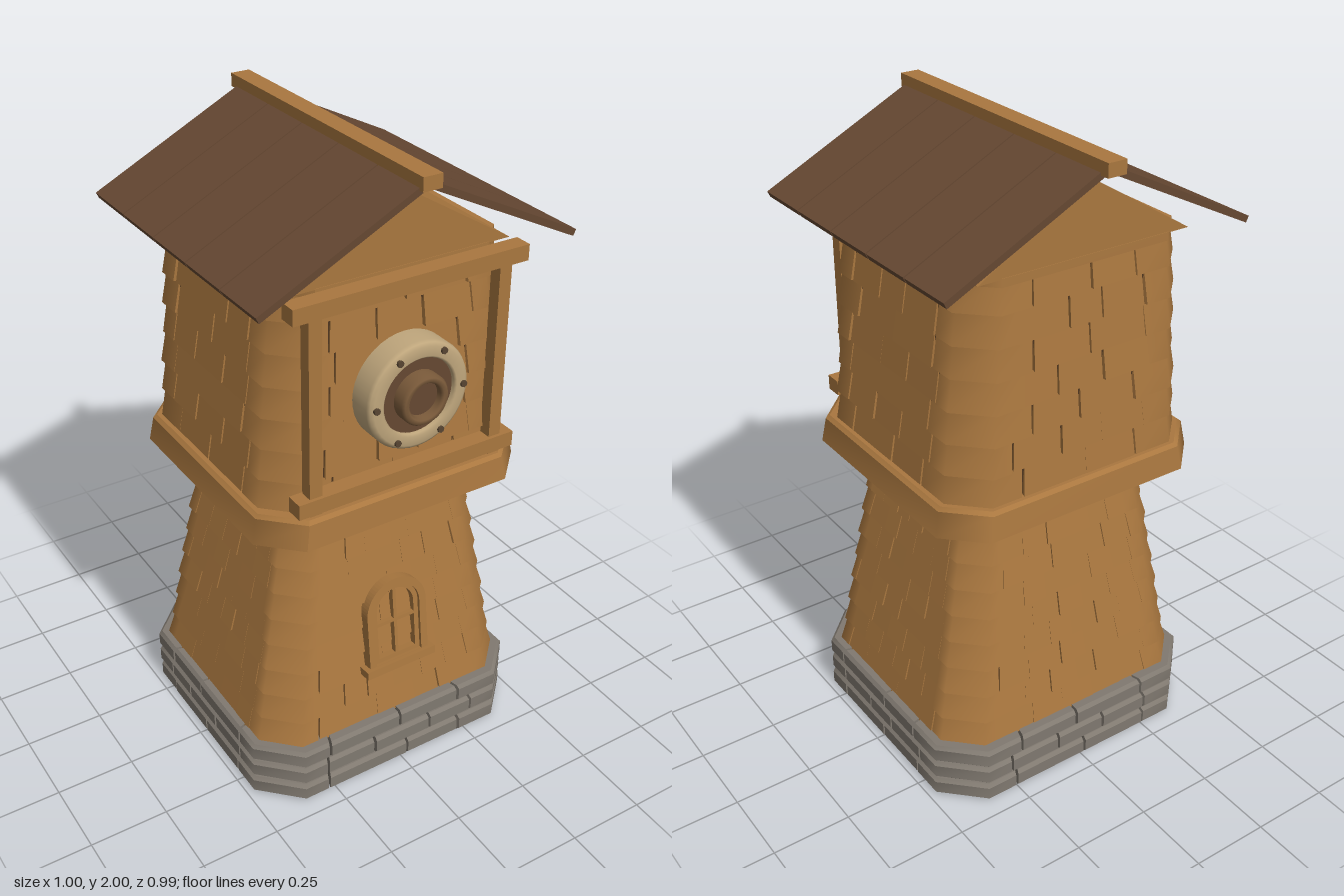
import * as THREE from 'three';

const mat = (name, color, double) => {
  const m = new THREE.MeshStandardMaterial({ color });
  m.name = name;
  if (double) m.side = THREE.DoubleSide;
  return m;
};

let seed = 7;
const rand = () => (seed = (seed * 16807) % 2147483647) / 2147483647;
const lerp = THREE.MathUtils.lerp;

// Body whose chamfered rectangular section tapers linearly from a to b: [y, halfX, halfZ, chamfer]
const taper = (a, b, zc = 0) => (y, inset) => {
  const t = (y - a[0]) / (b[0] - a[0]);
  const x = lerp(a[1], b[1], t) - inset, z = lerp(a[2], b[2], t) - inset;
  const c = Math.max(0.005, lerp(a[3], b[3], t) - inset * 0.586);
  return [[c - x, z], [x - c, z], [x, z - c], [x, c - z], [x - c, -z], [c - x, -z], [-x, c - z], [-x, z - c]]
    .map(p => [p[0], p[1] + zc]);
};

// Sweeps a profile of [inset, y] round the section from side position u0 to u1 (8 = full turn)
function sweep(out, body, profile, u0, u1, capped) {
  const us = [u0];
  for (let k = Math.floor(u0) + 1; k < u1; k++) us.push(k);
  us.push(u1);
  const point = (u, [inset, y]) => {
    const ring = body(y, inset), i = Math.floor(u), f = u - i;
    const a = ring[((i % 8) + 8) % 8], b = ring[(((i + 1) % 8) + 8) % 8];
    return [lerp(a[0], b[0], f), y, lerp(a[1], b[1], f)];
  };
  for (let j = 0; j + 1 < profile.length; j++) {
    const base = out.pos.length / 3;
    us.forEach(u => out.pos.push(...point(u, profile[j]), ...point(u, profile[j + 1])));
    for (let i = 0; i + 1 < us.length; i++) {
      const a = base + i * 2;
      out.idx.push(a, a + 2, a + 3, a, a + 3, a + 1);
    }
  }
  if (!capped) return;
  [u0, u1].forEach((u, end) => {
    const base = out.pos.length / 3;
    profile.forEach(p => out.pos.push(...point(u, p)));
    for (let i = 1; i + 1 < profile.length; i++)
      out.idx.push(base, base + (end ? i + 1 : i), base + (end ? i : i + 1));
  });
}

function toGeometry({ pos, idx }) {
  const g = new THREE.BufferGeometry();
  g.setAttribute('position', new THREE.Float32BufferAttribute(pos, 3));
  g.setIndex(idx);
  g.computeVertexNormals();
  return g;
}

function band(body, profile) {
  const out = { pos: [], idx: [] };
  sweep(out, body, profile, 0, 8, false);
  return toGeometry(out);
}

// Staggered courses of shingles or bricks, corner pieces wrapping round the chamfers
function courses(body, y0, y1, rows, perSide, gap, gapChance, jitter, profileOf) {
  const out = { pos: [], idx: [] }, h = (y1 - y0) / rows;
  for (let r = 0; r < rows; r++) {
    const breaks = [];
    for (let side = 0; side < 8; side += 2) {
      const n = perSide + (r % 2);
      for (let k = 0; k < n; k++)
        breaks.push(side + (k + 0.5) / n + (rand() - 0.5) * 0.25 / n);
    }
    breaks.forEach((u, i) => {
      const next = i + 1 < breaks.length ? breaks[i + 1] : breaks[0] + 8;
      const g = rand() < gapChance ? gap : 0;
      sweep(out, body, profileOf(y0 + r * h, y0 + (r + 1) * h, rand() * jitter), u, next - g, true);
    });
  }
  return toGeometry(out);
}

export function createModel() {
  const model = new THREE.Group();
  const wood = mat('wood', 0xa9773f), roofWood = mat('roof wood', 0x664832);
  const stone = mat('stone', 0x807970), cream = mat('pale metal', 0xbfa67c, true);
  const hubWood = mat('hub wood', 0x7a5a3a, true), bolt = mat('bolt', 0x574532);
  const gapWood = mat('wood gap', 0x4e351e), gapStone = mat('stone gap', 0x45413b);

  const add = (name, geo, material, x = 0, y = 0, z = 0, parent = model) => {
    const m = new THREE.Mesh(geo, material);
    m.name = name;
    m.position.set(x, y, z);
    parent.add(m);
    return m;
  };
  const box = (name, w, h, d, material, x, y, z, parent) =>
    add(name, new THREE.BoxGeometry(w, h, d), material, x, y, z, parent);

  // Stone foundation
  const foot = taper([0, 0.48, 0.443, 0.12], [0.2, 0.48, 0.443, 0.12]);
  add('foundationBricks', courses(foot, 0, 0.198, 3, 3, 0.012, 1, 0.003, (a, b, j) =>
    [[0.06, a + 0.003], [0.01 + j, a + 0.003], [j, a + 0.013], [j, b - 0.013], [0.01 + j, b - 0.002], [0.06, b - 0.002]]), stone);
  add('foundationCore', band(foot, [[0.02, 0.01], [0.02, 0.185], [0.12, 0.185]]), gapStone);
  const floor = new THREE.Shape(foot(0, 0.015).map(p => new THREE.Vector2(p[0], p[1])));
  add('foundationFloor', new THREE.ShapeGeometry(floor).rotateX(Math.PI / 2), stone, 0, 0.006, 0);

  // Lower tower
  const shingle = (a, b, j) => [[0.03, a], [j, a], [0.011 + j * 0.5, b + 0.002]];
  const tower = taper([0.2, 0.45, 0.408, 0.1], [0.955, 0.322, 0.318, 0.07]);
  add('towerShingles', courses(tower, 0.19, 0.96, 9, 6, 0.007, 0.3, 0.004, shingle), wood);
  add('towerCore', band(tower, [[0.019, 0.18], [0.019, 0.96]]), gapWood);

  // Skirt between the storeys
  const ledge = taper([0.955, 0.455, 0.438, 0.11], [1.045, 0.44, 0.428, 0.11]);
  add('skirt', band(ledge, [[0.17, 0.957], [0, 0.957], [0, 1.035], [0.01, 1.045], [0.1, 1.045]]), wood);

  // Upper house
  const house = taper([1.04, 0.42, 0.4, 0.1], [1.71, 0.368, 0.387, 0.09], -0.01);
  add('houseShingles', courses(house, 1.04, 1.71, 7, 3, 0.012, 0.85, 0.005, shingle), wood);
  add('houseCore', band(house, [[0.02, 1.04], [0.02, 1.705]]), gapWood);
  add('houseCeiling', band(house, [[0.005, 1.69], [0.005, 1.715], [0.16, 1.715]]), wood);

  // Gable prism under the roof
  const tri = new THREE.Shape([[-0.35, 0], [0.35, 0], [0, 0.215]].map(p => new THREE.Vector2(...p)));
  add('gable', new THREE.ExtrudeGeometry(tri, { depth: 0.76, bevelEnabled: false }), wood, 0, 1.712, -0.39);

  // Timber frame on the front
  box('frameTopBeam', 0.75, 0.048, 0.055, wood, 0, 1.682, 0.4);
  box('frameBottomBeam', 0.73, 0.048, 0.055, wood, 0, 1.09, 0.403);
  for (const s of [-1, 1]) box('framePost', 0.04, 0.61, 0.04, wood, s * 0.305, 1.36, 0.4);

  // Roof boards, five on each slope, and ridge beam
  for (const s of [-1, 1]) {
    const slope = new THREE.Group();
    slope.name = s > 0 ? 'leftRoofSlope' : 'rightRoofSlope';
    slope.position.set(s * 0.25, 1.848, 0);
    slope.rotation.z = -s * 0.458;
    for (let i = 0; i < 5; i++) {
      box('roofBoard', 0.55, 0.02, 0.183, roofWood, 0, 0, (i - 2) * 0.188, slope);
      if (i) box('roofBoardGap', 0.53, 0.009, 0.012, gapWood, 0, -0.004, (i - 2.5) * 0.188, slope);
    }
    model.add(slope);
  }
  box('ridgeBeam', 0.06, 0.04, 0.98, wood, 0, 1.98, -0.007);

  // Round axle mount
  const mount = new THREE.Group();
  mount.name = 'axleMount';
  mount.position.set(0, 1.36, 0.38);
  model.add(mount);
  const lathe = pts => new THREE.LatheGeometry(pts.map(p => new THREE.Vector2(...p)), 40).rotateX(Math.PI / 2);
  const disc = (r, h, n) => new THREE.CylinderGeometry(r, r, h, n).rotateX(Math.PI / 2);
  add('mountRing', lathe([[0.165, 0], [0.165, 0.068], [0.16, 0.078], [0.15, 0.084], [0.122, 0.086], [0.116, 0.08], [0.115, 0.06]]),
    cream, 0, 0, 0, mount);
  add('mountDisc', disc(0.118, 0.07, 40), roofWood, 0, 0, 0.035, mount);
  add('hubRing', lathe([[0.077, 0.06], [0.077, 0.105], [0.07, 0.115], [0.058, 0.115], [0.052, 0.107], [0.052, 0.07]]),
    hubWood, 0, 0, 0, mount);
  add('hubCentre', disc(0.053, 0.03, 32), roofWood, 0, 0, 0.075, mount);
  for (let i = 0; i < 6; i++) {
    const a = i * Math.PI / 3;
    add('mountBolt', disc(0.01, 0.012, 8), bolt, Math.cos(a) * 0.143, Math.sin(a) * 0.143, 0.086, mount);
  }

  // Arched window leaning with the wall
  const win = new THREE.Group();
  win.name = 'window';
  win.position.set(0, 0.385, 0.386);
  win.rotation.x = -0.125;
  model.add(win);
  const arch = (P, w, base, spring) => {
    const p = new P();
    p.moveTo(-w, base);
    p.lineTo(w, base);
    p.lineTo(w, spring);
    p.absarc(0, spring, w, 0, Math.PI, false);
    p.closePath();
    return p;
  };
  const archFrame = (name, outer, inner, b0, b1, depth) => {
    const s = arch(THREE.Shape, outer, b0, 0.19);
    s.holes.push(arch(THREE.Path, inner, b1, 0.19));
    add(name, new THREE.ExtrudeGeometry(s, { depth, bevelEnabled: false, curveSegments: 16 }), wood, 0, 0, -0.012, win);
  };
  archFrame('windowFrame', 0.107, 0.083, 0, 0.012, 0.038);
  archFrame('windowSash', 0.083, 0.067, 0.01, 0.026, 0.028);
  box('windowBar', 0.011, 0.235, 0.02, wood, 0, 0.14, 0.004, win);
  box('windowCrossBar', 0.14, 0.011, 0.02, wood, 0, 0.145, 0.004, win);
  box('windowSill', 0.25, 0.026, 0.055, wood, 0, -0.002, 0.012, win);

  return model;
}
